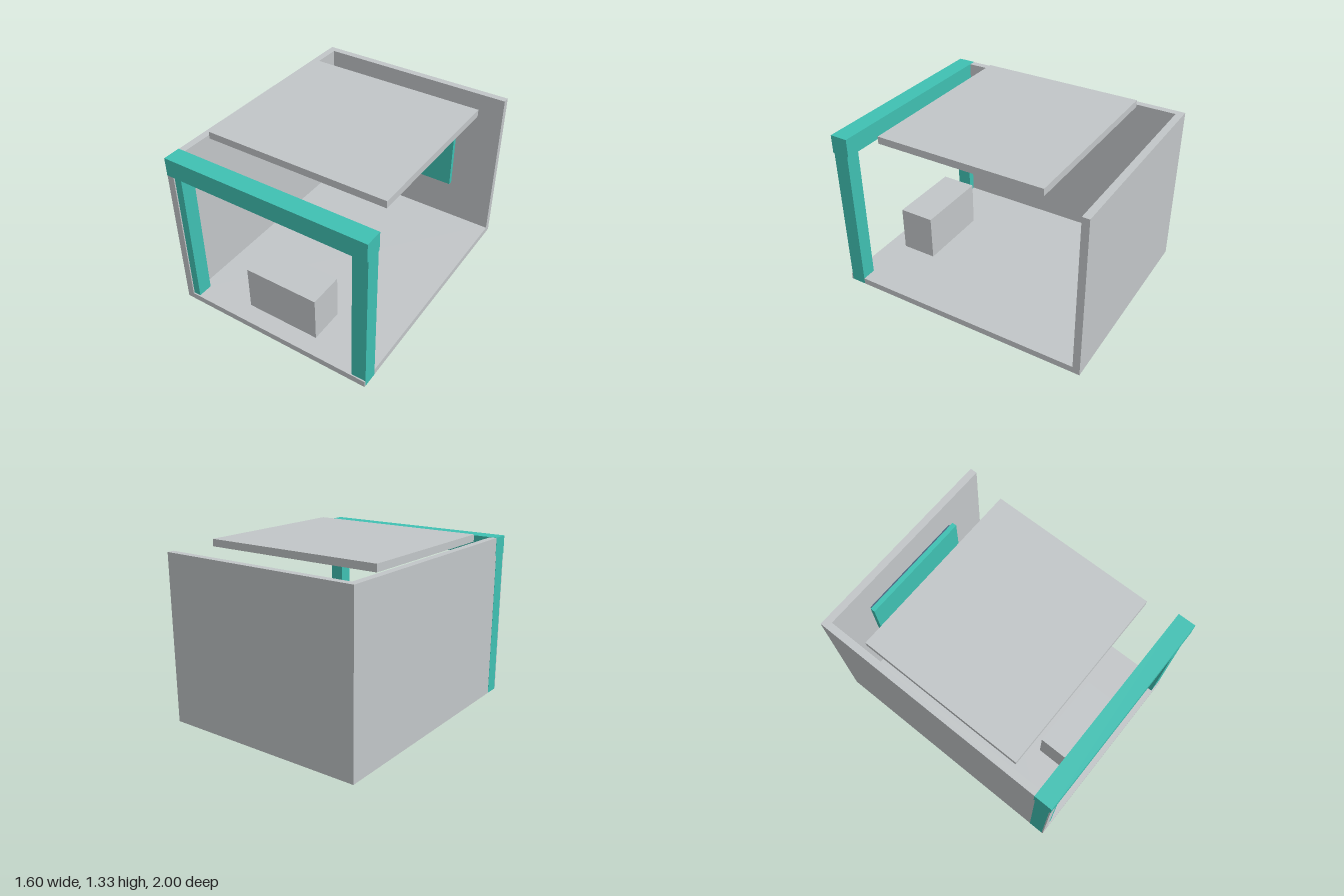
import * as THREE from 'three';

const makeMaterial = (name, color) => {
  const material = new THREE.MeshStandardMaterial({ color });
  material.name = name;
  return material;
};

export function createModel() {
  const group = new THREE.Group();
  group.name = 'openBooth';
  const grey = makeMaterial('panel grey', 0xc4c8ca);
  const teal = makeMaterial('trim teal', 0x40c2b4);
  const slate = makeMaterial('mount slate', 0x4a6580);

  // Adds a box spanning the given [min, max] ranges
  const addBox = (name, material, [x0, x1], [y0, y1], [z0, z1]) => {
    const mesh = new THREE.Mesh(new THREE.BoxGeometry(x1 - x0, y1 - y0, z1 - z0), material);
    mesh.position.set((x0 + x1) / 2, (y0 + y1) / 2, (z0 + z1) / 2);
    mesh.name = name;
    group.add(mesh);
  };

  // Shell: floor, back wall and one side wall
  addBox('floor', grey, [-0.8, 0.8], [0, 0.05], [-1, 1]);
  addBox('backWall', grey, [-0.8, 0.8], [0.05, 1.28], [-1, -0.945]);
  addBox('sideWall', grey, [-0.8, -0.745], [0.05, 1.28], [-0.945, 1]);

  // Floating roof panel
  addBox('roofPanel', grey, [-0.717, 0.717], [1.275, 1.33], [-0.647, 0.645]);

  // Front counter
  addBox('counter', grey, [-0.298, 0.298], [0.05, 0.41], [0.577, 0.857]);

  // Front frame, a hair proud of the shell so the faces stay clean
  const e = 0.001;
  for (const side of [-1, 1]) {
    const xs = [side * 0.687, side * (0.8 + e)].sort((a, b) => a - b);
    addBox(side < 0 ? 'rightPost' : 'leftPost', teal, xs, [e, 1.2], [0.873, 0.99]);
  }
  addBox('frontBeam', teal, [-0.8 - e, 0.8 + e], [1.14, 1.28 + e], [0.863, 1 + e]);

  // Wall display and its mount
  addBox('displayPanel', teal, [-0.455, 0.455], [0.42, 1.06], [-0.905, -0.868]);
  addBox('displayMount', slate, [-0.438, 0.438], [0.455, 1.025], [-0.93, -0.905]);

  return group;
}
